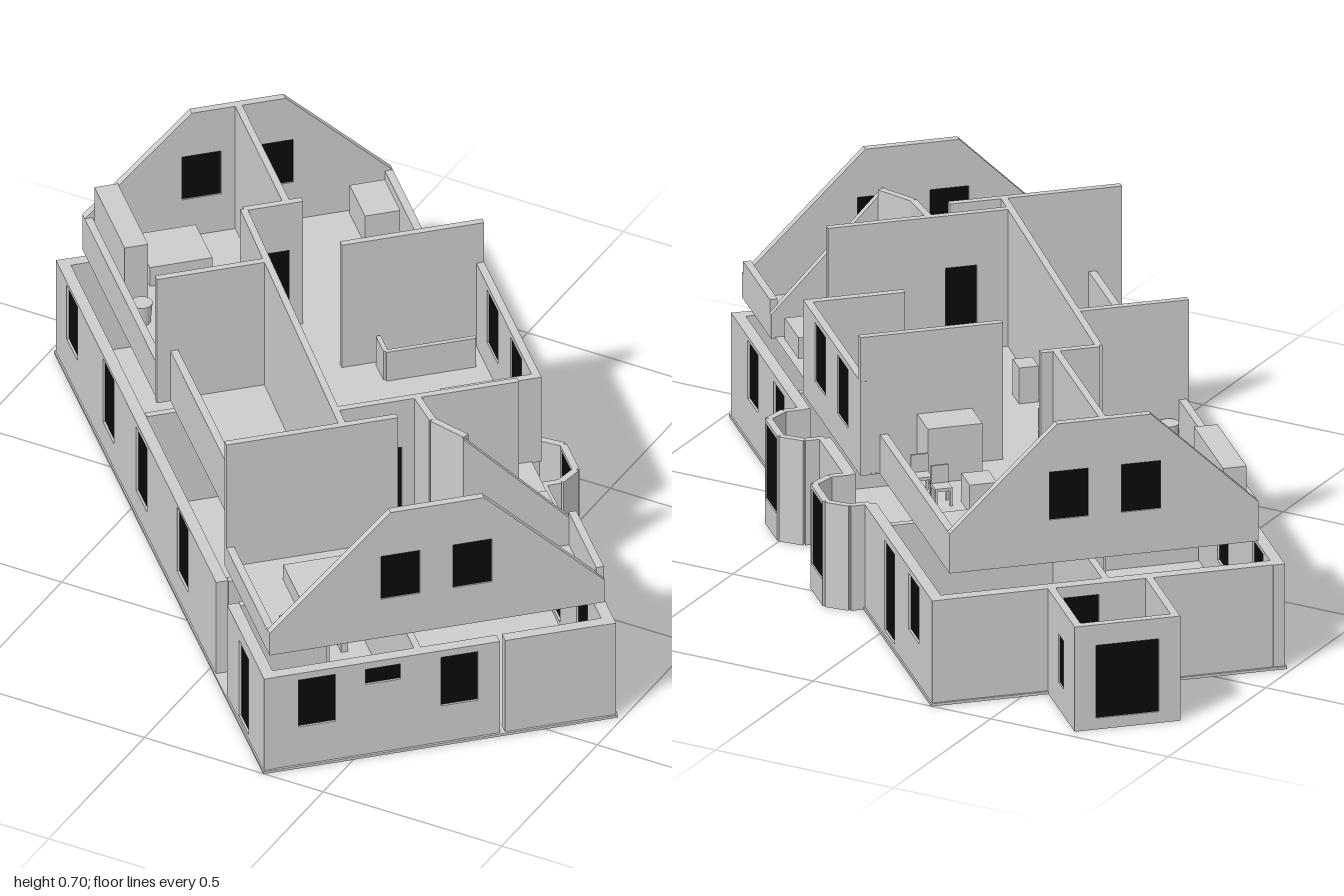
import * as THREE from 'three';

export function createModel() {
  const root = new THREE.Group();
  root.name = 'house';
  // The plan is drawn square (x = length, z = width) and then turned on the site
  const house = new THREE.Group();
  house.name = 'building';
  house.rotation.y = -0.804;
  root.add(house);

  const grey = new THREE.MeshStandardMaterial({ color: 0xcccccc });
  const black = new THREE.MeshStandardMaterial({ color: 0x0a0a0a });

  function add(name, geometry, material = grey) {
    const mesh = new THREE.Mesh(geometry, material);
    mesh.name = name;
    house.add(mesh);
  }
  // Box given by its limits
  function box(name, x0, x1, y0, y1, z0, z1) {
    const g = new THREE.BoxGeometry(x1 - x0, y1 - y0, z1 - z0);
    g.translate((x0 + x1) / 2, (y0 + y1) / 2, (z0 + z1) / 2);
    add(name, g);
  }
  const outlineOf = (d0, d1, y0, y1) => [[d0, y0], [d1, y0], [d1, y1], [d0, y1]];
  const toPoints = (list) => list.map(([d, y]) => new THREE.Vector2(d, y));

  // Upright panel with openings [centre, width, bottom, top], each closed by a dark pane
  function panel(name, [x, z], angle, outline, t, openings = []) {
    const place = (shape, depth) => {
      const g = new THREE.ExtrudeGeometry(shape, { depth, bevelEnabled: false });
      g.translate(0, 0, -depth / 2);
      g.rotateY(-angle);
      g.translate(x, 0, z);
      return g;
    };
    const shape = new THREE.Shape(toPoints(outline));
    for (const [d, w, y0, y1] of openings) {
      const hole = toPoints(outlineOf(d - w / 2, d + w / 2, y0, y1));
      shape.holes.push(new THREE.Path(hole));
      add(name + 'Pane', place(new THREE.Shape(hole), t * 0.6), black);
    }
    add(name, place(shape, t));
  }
  // Wall between two plan points; opening centres are measured from the first
  function wall(name, [x0, z0], [x1, z1], y0, y1, t = 0.02, openings = []) {
    const dx = x1 - x0, dz = z1 - z0;
    panel(name, [x0, z0], Math.atan2(dz, dx), outlineOf(0, Math.hypot(dx, dz), y0, y1), t, openings);
  }

  // Ground slabs
  const T = 0.28, S = 0.007;
  box('groundSlab', -0.953, 0.953, 0, S, -0.455, 0.455);
  box('annexSlab', -1.2, -0.953, 0, S, -0.155, 0.115);

  // Ground floor, long side with the entrance gap
  const L = 0.948, zf = 0.436, zb = -0.436, xe = 0.932;
  wall('frontLongWall', [-L, zf], [0.51, zf], 0, T, 0.03, [[-0.8, 0.11, 0.27],
    [-0.47, 0.08, 0.27], [-0.168, 0.075, 0.265], [0.206, 0.08, 0.27]]
    .map(([x, y0, y1]) => [x + L, 0.1, y0, y1]));
  wall('frontLongWall', [0.61, zf], [L, zf], 0, T, 0.03, [[0.151, 0.085, 0.02, 0.245]]);
  wall('entranceWall', [0.505, 0.42], [0.505, 0.2], 0, T);
  wall('entranceWall', [0.615, 0.42], [0.615, 0.2], 0, T);
  wall('entranceWall', [0.505, 0.2], [0.615, 0.2], 0, T);

  // Ground floor, end walls
  wall('endWall', [xe, 0.451], [xe, -0.153], 0, T, 0.03, [[0.136, 0.095, 0.12, 0.26],
    [0.305, 0.09, 0.215, 0.26], [0.501, 0.095, 0.115, 0.26]]);
  wall('endWall', [xe, -0.167], [xe, -0.451], 0, T, 0.03);
  wall('rearEndWall', [-xe, 0.451], [-xe, -0.451], 0, T, 0.03, [[0.52, 0.09, 0.012, 0.25]]);

  // Ground floor, long side with two bays
  wall('backLongWall', [-L, zb], [-0.31, zb], 0, T, 0.03,
    [[L - 0.775, 0.1, 0.115, 0.265], [L - 0.545, 0.095, 0.02, 0.26]]);
  wall('backLongWall', [-0.12, zb], [0.12, zb], 0, T, 0.03);
  wall('backLongWall', [0.31, zb], [L, zb], 0, T, 0.03,
    [[0.188, 0.095, 0.02, 0.26], [0.433, 0.1, 0.115, 0.27]]);
  [0.22, -0.21].forEach((x) => {
    const p = [[x - 0.096, -0.436], [x - 0.096, -0.487], [x - 0.057, -0.537],
      [x + 0.057, -0.537], [x + 0.096, -0.487], [x + 0.096, -0.436]];
    for (let i = 0; i < 5; i++) {
      wall('bayWall', p[i], p[i + 1], 0, T, 0.018, i === 2 ? [[0.057, 0.1, 0.07, 0.27]] : []);
    }
    const s = new THREE.Shape(p.map(([a, b]) => new THREE.Vector2(a, -b)));
    const g = new THREE.ExtrudeGeometry(s, { depth: S, bevelEnabled: false });
    g.rotateX(-Math.PI / 2);
    add('bayFloor', g);
  });

  // Annex
  wall('annexEndWall', [-1.19, -0.155], [-1.19, 0.115], 0, T, 0.02, [[0.135, 0.16, 0.03, 0.225]]);
  wall('annexWall', [-1.2, -0.145], [-0.93, -0.145], 0, T, 0.02, [[0.13, 0.045, 0.07, 0.2]]);
  wall('annexWall', [-1.2, 0.105], [-0.93, 0.105], 0, T);

  // Ground floor partitions
  [[[-0.92, 0], [-0.45, 0]], [[-0.45, 0.12], [0.505, 0.12]], [[-0.24, 0.12], [-0.24, 0.42]],
    [[-0.45, 0.12], [-0.45, -0.42]], [[0.42, -0.42], [0.42, 0.05]], [[0.42, 0.05], [0.92, 0.05]]]
    .forEach(([a, b]) => wall('groundPartition', a, b, S, T, 0.018));

  // Upper floor, a single sheet seen from above
  const F = 0.33, R = 0.7, xr = -0.895, xg = 0.912;
  const floor = [[xr, 0.385], [-0.22, 0.385], [-0.22, 0.36], [0.52, 0.36], [0.52, 0.42], [xg, 0.42],
    [xg, -0.42], [0.28, -0.42], [0.28, -0.44], [-0.25, -0.44], [-0.25, -0.385], [xr, -0.385]];
  const sheet = new THREE.ShapeGeometry(new THREE.Shape(floor.map(([x, z]) => new THREE.Vector2(x, -z))));
  sheet.rotateX(-Math.PI / 2);
  sheet.translate(0, F + 0.004, 0);
  add('upperFloor', sheet);

  // Gables: the rear one is narrower, under the same roof slope
  [[xg, 0.43, 0.395], [xr, 0.395, 0.435]].forEach(([x, w, y]) => panel('gable', [x, 0], Math.PI / 2,
    [[w, F], [w, y], [0.12, R], [-0.12, R], [-w, y], [-w, F]], 0.02,
    [0.095, -0.09].map((z) => [z, 0.1, 0.445, 0.573])));

  // Low side walls and dormer walls
  wall('kneeWall', [xr, 0.385], [-0.22, 0.385], F, 0.435);
  wall('dormerWall', [-0.22, 0.355], [0.52, 0.355], F, 0.48);
  wall('kneeWall', [0.52, 0.42], [xg, 0.42], F, 0.392);
  wall('kneeWall', [xr, -0.385], [-0.25, -0.385], F, 0.435);
  wall('dormerWall', [-0.25, -0.435], [0.29, -0.435], F, 0.582, 0.02,
    [[0.167, 0.1, 0.41, 0.567], [0.38, 0.1, 0.41, 0.567]]);
  wall('dormerCheek', [0.28, -0.19], [0.28, -0.435], F, 0.582);
  wall('kneeWall', [0.66, -0.42], [xg, -0.42], F, 0.43);

  // Full height upper partitions
  const door = (d) => [[d, 0.08, F + 0.006, 0.56]];
  [[[xr, 0], [-0.45, 0]], [[-0.45, -0.04], [-0.45, 0.11], door(0.075)], [[-0.45, 0.11], [0.52, 0.13]],
    [[-0.22, 0.4], [-0.22, 0.11]], [[0.52, 0.43], [0.52, -0.01]], [[-0.24, -0.08], [-0.24, -0.445]],
    [[0.45, 0.12], [0.45, -0.34], door(0.12)], [[0.45, -0.08], [0.56, -0.09]],
    [[0.56, -0.09], [0.65, -0.15]]]
    .forEach(([a, b, openings]) => wall('upperPartition', a, b, F, R, 0.018, openings));
  panel('slopedPartition', [0.655, 0], Math.PI / 2,
    [[-0.14, F], [-0.14, R], [-0.43, 0.395], [-0.43, F]], 0.018);

  // Upper furniture: [name, x0, x1, z0, z1, height]
  [['bed', 0.62, 0.83, 0.1, 0.31, 0.05], ['wardrobe', -0.885, -0.61, 0.31, 0.37, 0.195],
    ['bed', -0.85, -0.7, 0.12, 0.28, 0.06], ['sideboard', -0.62, -0.4, 0.03, 0.07, 0.13],
    ['desk', -0.87, -0.73, -0.37, -0.28, 0.09], ['table', -0.56, -0.48, -0.25, -0.18, 0.08],
    ['cabinet', -0.35, -0.25, -0.3, -0.16, 0.15], ['bath', 0.5, 0.63, -0.4, -0.34, 0.06],
    ['nightstand', 0.83, 0.88, 0.33, 0.38, 0.05], ['chest', 0.3, 0.36, 0.2, 0.26, 0.08],
    ['cupboard', 0.08, 0.14, 0.05, 0.1, 0.1], ['cupboard', 0.7, 0.78, -0.2, -0.12, 0.08]]
    .forEach(([n, x0, x1, z0, z1, h]) => box(n, x0, x1, F, F + h, z0, z1));

  // Chairs: seat, back and four legs
  [[-0.48, -0.3], [-0.4, -0.33], [-0.2, 0.05], [0.24, 0.31], [0.87, 0]].forEach(([x, z]) => {
    box('chairSeat', x - 0.022, x + 0.022, F + 0.045, F + 0.053, z - 0.022, z + 0.022);
    box('chairBack', x + 0.016, x + 0.022, F + 0.053, F + 0.1, z - 0.022, z + 0.022);
    for (const i of [-1, 1]) for (const j of [-1, 1]) {
      const lx = x + i * 0.019, lz = z + j * 0.019;
      box('chairLeg', lx - 0.003, lx + 0.003, F, F + 0.045, lz - 0.003, lz + 0.003);
    }
  });
  // Round stools and stair rail
  [[-0.56, 0.34], [-0.26, 0.34], [0.87, -0.26]].forEach(([x, z]) => {
    const g = new THREE.CylinderGeometry(0.027, 0.022, 0.06, 12);
    g.translate(x, F + 0.03, z);
    add('stool', g);
  });
  wall('stairRail', [-0.15, -0.4], [-0.15, -0.17], F, 0.42, 0.012);
  wall('stairRail', [-0.22, -0.17], [-0.15, -0.17], F, 0.42, 0.012);

  return root;
}
